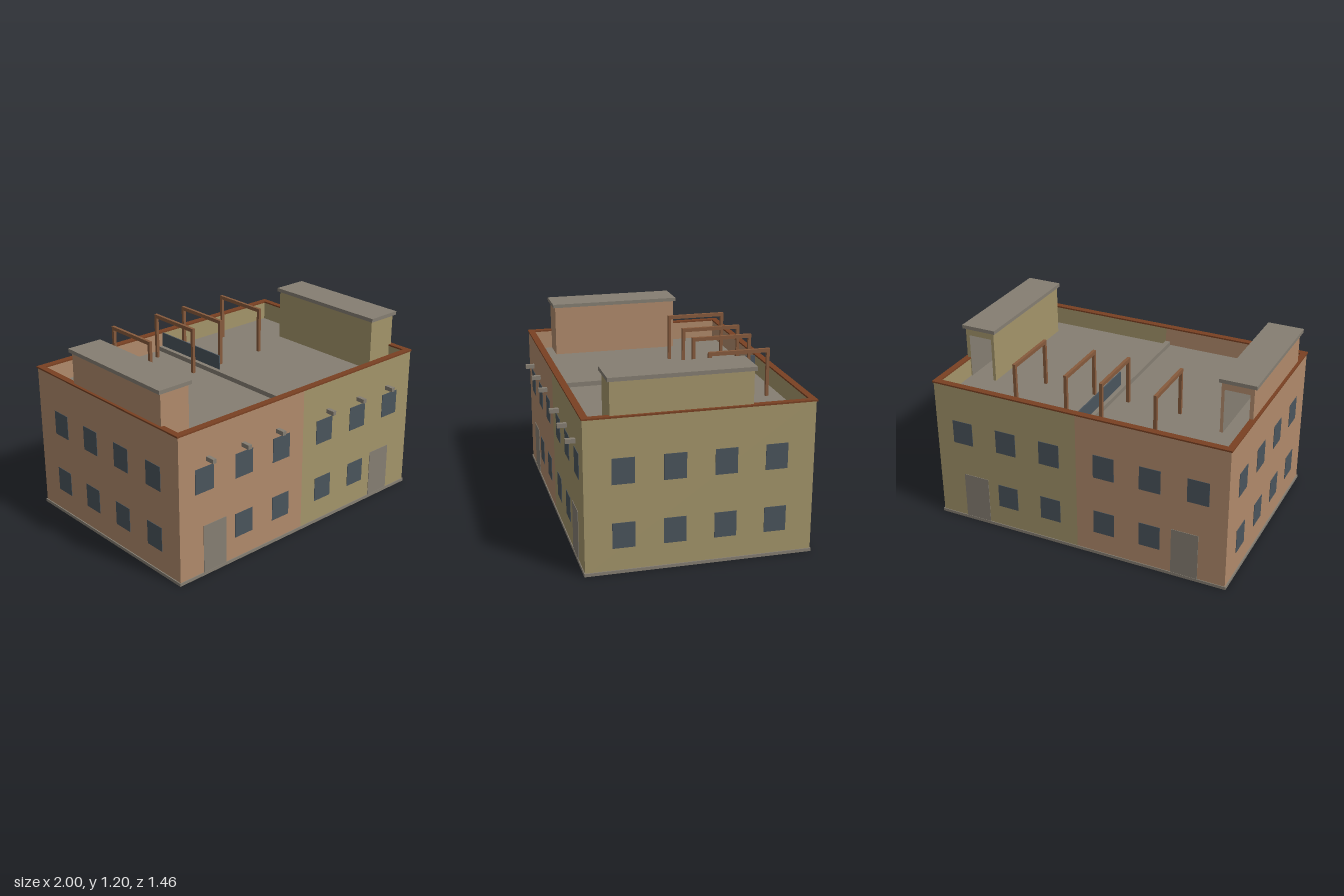
import * as THREE from 'three';

const paint = (name, color) => {
  const m = new THREE.MeshStandardMaterial({ color });
  m.name = name;
  return m;
};

export function createModel() {
  const salmon = paint('salmon plaster', 0xb08a6b);
  const olive = paint('olive plaster', 0xa3946a);
  const stone = paint('grey concrete', 0x857e72);
  const glass = paint('slate glass', 0x4a545c);
  const brick = paint('brown coping', 0x7a4122);
  const wood = paint('wood', 0x865a3c);

  const model = new THREE.Group();
  model.name = 'terracedHouses';

  // Box given by its limits on each axis
  const box = (name, mat, [x0, x1], [y0, y1], [z0, z1], parent = model) => {
    const mesh = new THREE.Mesh(
      new THREE.BoxGeometry(Math.abs(x1 - x0), y1 - y0, Math.abs(z1 - z0)), mat);
    mesh.position.set((x0 + x1) / 2, (y0 + y1) / 2, (z0 + z1) / 2);
    mesh.name = name;
    parent.add(mesh);
    return mesh;
  };

  const BACK = -0.723, FRONT = 0.67, SIDE = 0.993, DECK = 0.84, TOP = 0.962;

  // Base slab and roof deck
  box('plinth', stone, [-1, 1], [0, 0.02], [-0.728, 0.675]);
  box('roofDeck', stone, [-0.97, 0.97], [DECK - 0.03, DECK], [-0.7, 0.64]);
  box('roofCurb', stone, [-0.035, 0], [DECK, DECK + 0.03], [-0.69, 0.63]);
  box('roofDivider', glass, [-0.007, 0.001], [DECK, 0.965], [-0.69, -0.1]);

  // Brown coping round the parapet
  for (const s of [-1, 1]) {
    box('sideCoping', brick, [s * 0.96, s], [TOP, 0.972], [-0.688, 0.632]);
  }
  box('backCoping', brick, [-1, 1], [TOP, 0.972], [-0.73, -0.688]);
  box('frontCoping', brick, [-1, 1], [TOP, 0.972], [0.632, 0.675]);

  for (const s of [-1, 1]) {
    const plaster = s < 0 ? salmon : olive;
    const house = new THREE.Group();
    house.name = s < 0 ? 'rightHouse' : 'leftHouse';
    model.add(house);

    // Outer walls, rising past the deck as a parapet
    box('frontWall', plaster, [0, s * SIDE], [0.02, TOP], [FRONT - 0.03, FRONT], house);
    box('backWall', plaster, [0, s * SIDE], [0.02, TOP], [BACK, BACK + 0.03], house);
    box('sideWall', plaster, [s * (SIDE - 0.03), s * SIDE], [0.02, TOP],
      [BACK + 0.03, FRONT - 0.03], house);

    // Windows and doors, alike on front and back
    for (const z of [FRONT, BACK]) {
      const depth = [z - 0.003, z + 0.003];
      const pane = (x, y) =>
        box('window', glass, [s * x - 0.07, s * x + 0.07], [y, y + 0.16], depth, house);
      for (const x of [0.187, 0.493, 0.803]) pane(x, 0.56);
      for (const x of [0.187, 0.493]) pane(x, 0.16);
      box('door', stone, [s * 0.637, s * 0.813], [0.02, 0.335], depth, house);
    }
    for (const z of [0.437, 0.128, -0.18, -0.489]) {
      for (const y of [0.16, 0.56]) {
        box('sideWindow', glass, [s * (SIDE - 0.003), s * (SIDE + 0.003)], [y, y + 0.16],
          [z - 0.068, z + 0.068], house);
      }
    }

    // Water spouts on the front
    for (const x of s < 0 ? [-0.775, -0.5, -0.22] : [0.215, 0.495, 0.77]) {
      box('waterSpout', stone, [x - 0.013, x + 0.013], [0.753, 0.78], [0.66, 0.73], house);
    }

    // Hollow stair house, open at the back, with a grey interior
    const stair = new THREE.Group();
    stair.name = 'stairHouse';
    house.add(stair);
    const y = [DECK, 1.176];
    const lined = (face) => Array.from({ length: 6 }, (_, i) => (i === face ? stone : plaster));
    box('stairOuterWall', lined(s > 0 ? 1 : 0), [s * 0.957, s * 0.982], y, [-0.34, 0.51], stair);
    box('stairInnerWall', lined(s > 0 ? 0 : 1), [s * 0.777, s * 0.797], y, [-0.34, 0.51], stair);
    box('stairFrontWall', lined(5), [s * 0.797, s * 0.957], y, [0.49, 0.51], stair);
    box('stairLintel', lined(4), [s * 0.797, s * 0.957], [1.13, 1.176], [-0.34, -0.32], stair);
    box('stairRoof', stone, [s * 0.763, s], [1.176, 1.2], [-0.352, 0.525], stair);
  }

  // Timber frames on the roof
  for (const x of [-0.473, -0.12, 0.117, 0.468]) {
    const frame = new THREE.Group();
    frame.name = 'pergolaFrame';
    model.add(frame);
    const w = [x - 0.01, x + 0.01];
    box('beam', wood, w, [1.123, 1.147], [-0.615, -0.22], frame);
    box('backPost', wood, w, [DECK, 1.123], [-0.615, -0.595], frame);
    box('frontPost', wood, w, [DECK, 1.123], [-0.24, -0.22], frame);
  }

  return model;
}
